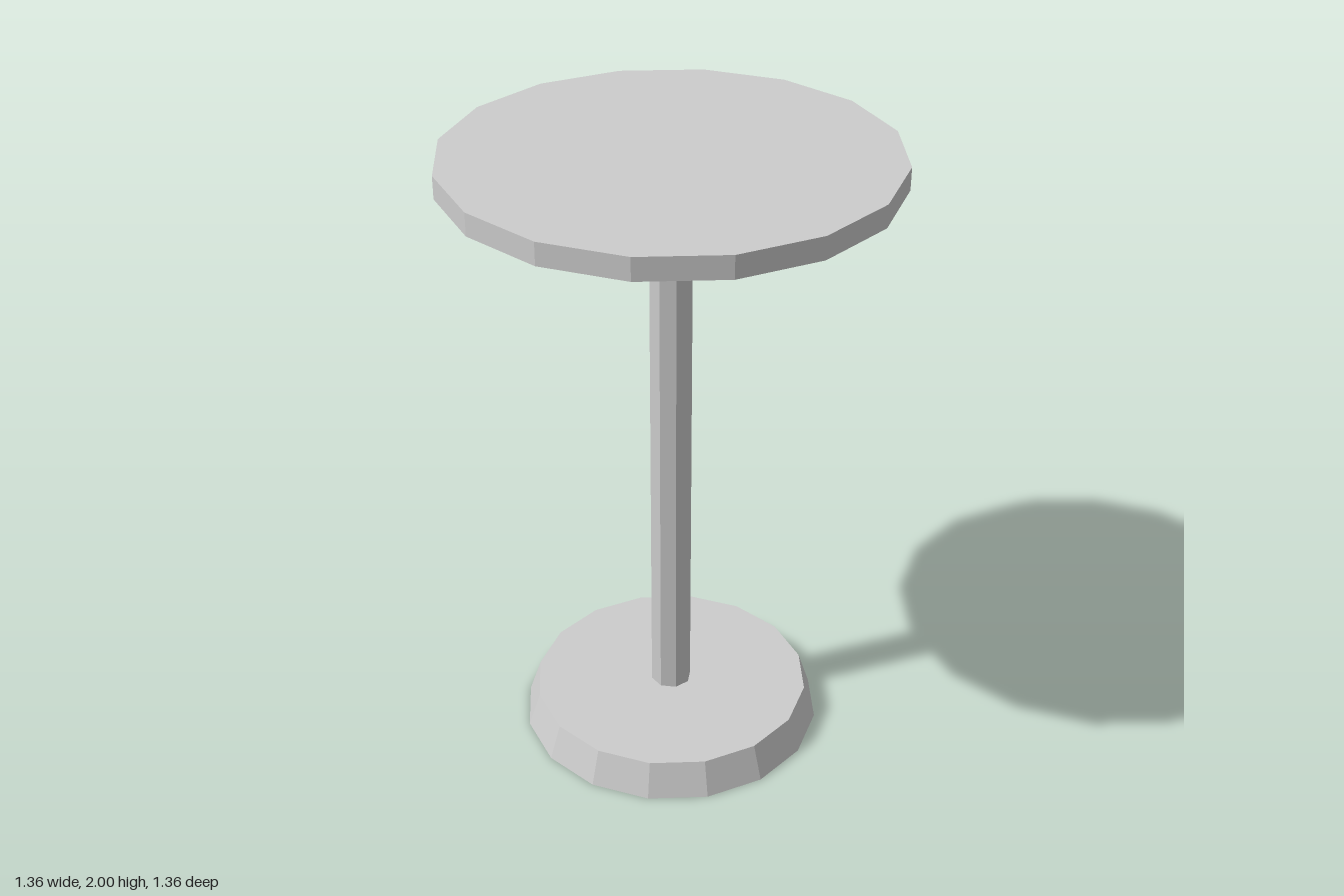
import * as THREE from 'three';

export function createModel() {
  const group = new THREE.Group();
  group.name = 'pedestalTable';

  const grey = new THREE.MeshStandardMaterial({ color: 0xcccccc });
  grey.name = 'light grey';
  grey.flatShading = true;

  // Upright faceted drum spanning y0 to y1, with a corner facing the front
  function drum(name, topRadius, bottomRadius, y0, y1, sides) {
    const geometry = new THREE.CylinderGeometry(topRadius, bottomRadius, y1 - y0, sides);
    const mesh = new THREE.Mesh(geometry, grey);
    mesh.name = name;
    mesh.position.y = (y0 + y1) / 2;
    group.add(mesh);
  }

  drum('base', 0.45, 0.488, 0, 0.115, 16); // tapered foot
  drum('pole', 0.066, 0.066, 0.115, 1.93, 8); // octagonal column
  drum('tableTop', 0.68, 0.68, 1.93, 2, 16); // flat round top

  return group;
}
